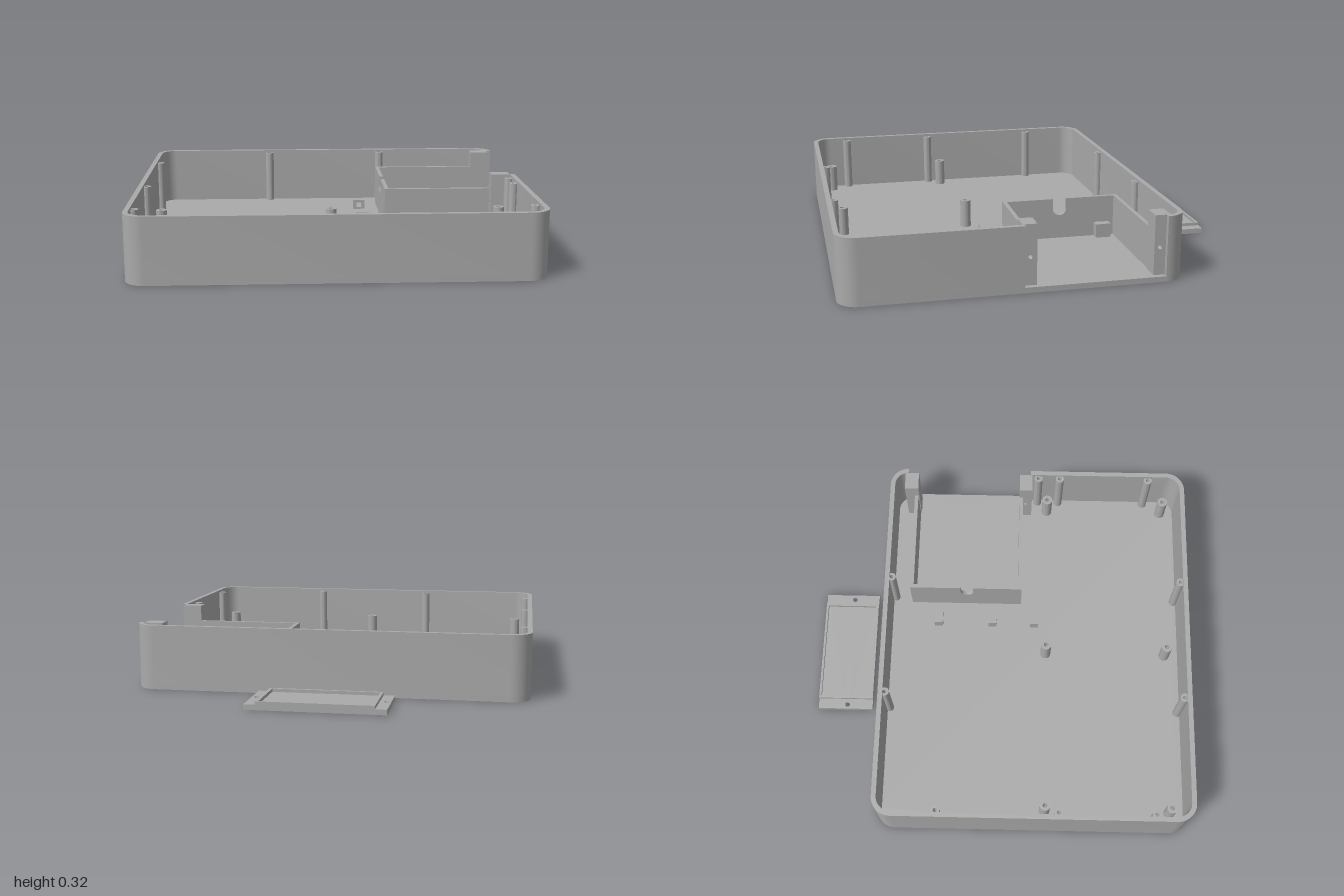
import * as THREE from 'three';
import { toCreasedNormals } from 'three/addons/utils/BufferGeometryUtils.js';

const grey = new THREE.MeshStandardMaterial({ color: 0xaaaaaa });
grey.name = 'grey plastic';

const FLOOR = 0.027, TOP = 0.325;
const X = 0.985, BACK = -0.645, FRONT = 1, R = 0.1, WALL = 0.025;
const OPEN_BACK = -0.545, OPEN_FRONT = 0.142;

export function createModel() {
  const model = new THREE.Group();
  model.name = 'enclosure';

  const add = (name, geometry, parent = model) => {
    const mesh = new THREE.Mesh(geometry, grey);
    mesh.name = name;
    parent.add(mesh);
    return mesh;
  };
  const group = (name) => {
    const g = new THREE.Group();
    g.name = name;
    model.add(g);
    return g;
  };
  const extrude = (shape, depth) => toCreasedNormals(
    new THREE.ExtrudeGeometry(shape, { depth, bevelEnabled: false, curveSegments: 16 }), 0.5);
  // Plan shape (x, z) raised from y0 to y1
  const rise = (shape, y0, y1) => extrude(shape, y1 - y0).rotateX(Math.PI / 2).translate(0, y1, 0);
  // Side shape (z, y) spanning x0 to x1
  const across = (shape, x0, x1) => extrude(shape, x1 - x0).rotateY(-Math.PI / 2).translate(x1, 0, 0);
  const box = (x0, x1, y0, y1, z0, z1) => new THREE.BoxGeometry(x1 - x0, y1 - y0, z1 - z0)
    .translate((x0 + x1) / 2, (y0 + y1) / 2, (z0 + z1) / 2);
  const poly = (...pts) => new THREE.Shape(pts.map(([a, b]) => new THREE.Vector2(a, b)));
  const rect = (a0, a1, b0, b1) => poly([a0, b0], [a1, b0], [a1, b1], [a0, b1]);
  const circle = (x, y, r) => new THREE.Path().absarc(x, y, r, 0, Math.PI * 2, true);
  const pierce = (shape, ...holes) => { shape.holes.push(...holes); return shape; };

  // Rounded outline from the front of the opening, round the box, to its back
  const outline = (inset) => {
    const r = R - inset, pts = [];
    const corners = [[X - R, FRONT - R, 0], [-X + R, FRONT - R, 1], [-X + R, BACK + R, 2], [X - R, BACK + R, 3]];
    for (const [cx, cz, q] of corners) {
      for (let i = 0; i <= 12; i++) {
        const a = (q + i / 12) * Math.PI / 2;
        pts.push(new THREE.Vector2(cx + r * Math.cos(a), cz + r * Math.sin(a)));
      }
    }
    return pts;
  };

  // Tray: floor and outer wall with an opening in one side
  add('floor', rise(new THREE.Shape(outline(0)), 0, FLOOR));
  add('outerWall', rise(new THREE.Shape([
    new THREE.Vector2(X, OPEN_FRONT), ...outline(0),
    ...outline(WALL).reverse(), new THREE.Vector2(X - WALL, OPEN_FRONT),
  ]), FLOOR, TOP));

  // Compartment walls, the inner one with a cable notch
  const compartment = group('compartment');
  const divider = poly([-0.515, FLOOR], [0.1, FLOOR], [0.1, 0.24], [-0.167, 0.24], [-0.167, 0.185]);
  divider.absarc(-0.202, 0.185, 0.035, 0, -Math.PI, true);
  divider.lineTo(-0.237, 0.24);
  divider.lineTo(-0.515, 0.24);
  add('notchedDivider', across(divider, 0.295, 0.315), compartment);
  add('compartmentBackWall', box(0.315, 0.86, FLOOR, 0.24, -0.515, -0.495), compartment);
  add('compartmentFrontWall', box(0.315, 0.86, FLOOR, 0.24, 0.08, 0.1), compartment);
  for (const z of [-0.43, 0.02]) {
    add('stopBlock', box(0.315, 0.36, FLOOR, 0.1, z - 0.04, z + 0.04), compartment);
  }

  // Screw blocks beside the opening
  for (const [z0, z1, hole] of [[-0.565, -0.49, -0.518], [0.08, 0.15, 0.112]]) {
    add('screwBlock', across(pierce(rect(z0, z1, FLOOR, TOP), circle(hole, 0.165, 0.01)), 0.86, 0.958), compartment);
  }

  // Hollow posts
  const post = (name, x, z, r, bore, top, parent) => {
    const ring = new THREE.Shape().absarc(x, z, r, 0, Math.PI * 2, false);
    add(name, rise(pierce(ring, circle(x, z, bore)), FLOOR, top), parent);
  };
  const standoffs = group('standoffs');
  for (const x of [-0.885, 0, 0.885]) {
    for (const z of [0.24, 0.9]) post('standoff', x, z, 0.028, 0.012, 0.172, standoffs);
  }
  const bosses = group('lidBosses');
  for (const [x, z] of [
    [-0.33, -0.61], [0.325, -0.61], [-0.33, 0.962], [0.325, 0.962],
    [-0.948, -0.32], [-0.948, 0.305], [-0.948, 0.8],
    [0.945, 0.185], [0.945, 0.305], [0.945, 0.8],
  ]) post('lidBoss', x, z, 0.023, 0.01, 0.312, bosses);

  // Cable tie anchors on the floor
  const anchors = group('tieAnchors');
  for (const z of [-0.36, -0.058, 0.175]) {
    const arch = pierce(rect(0.155, 0.22, FLOOR, 0.08), rect(0.172, 0.203, 0.037, 0.064));
    add('tieAnchor', extrude(arch, 0.046).translate(0, 0, z - 0.023), anchors);
  }

  // Separate cover plate lying behind the tray
  const cover = group('coverPlate');
  const plate = (holeR) => pierce(rect(-0.343, 0.328, -1, -0.705),
    circle(-0.32, -0.843, holeR), circle(0.302, -0.843, holeR));
  add('coverUnderside', rise(pierce(plate(0.02), circle(-0.007, -0.852, 0.04)), 0, 0.012), cover);
  add('coverTop', rise(plate(0.013), 0.012, 0.026), cover);
  add('coverRim', rise(pierce(rect(-0.288, 0.273, -1, -0.705),
    rect(-0.273, 0.257, -0.988, -0.72)), 0.026, 0.042), cover);

  return model;
}
